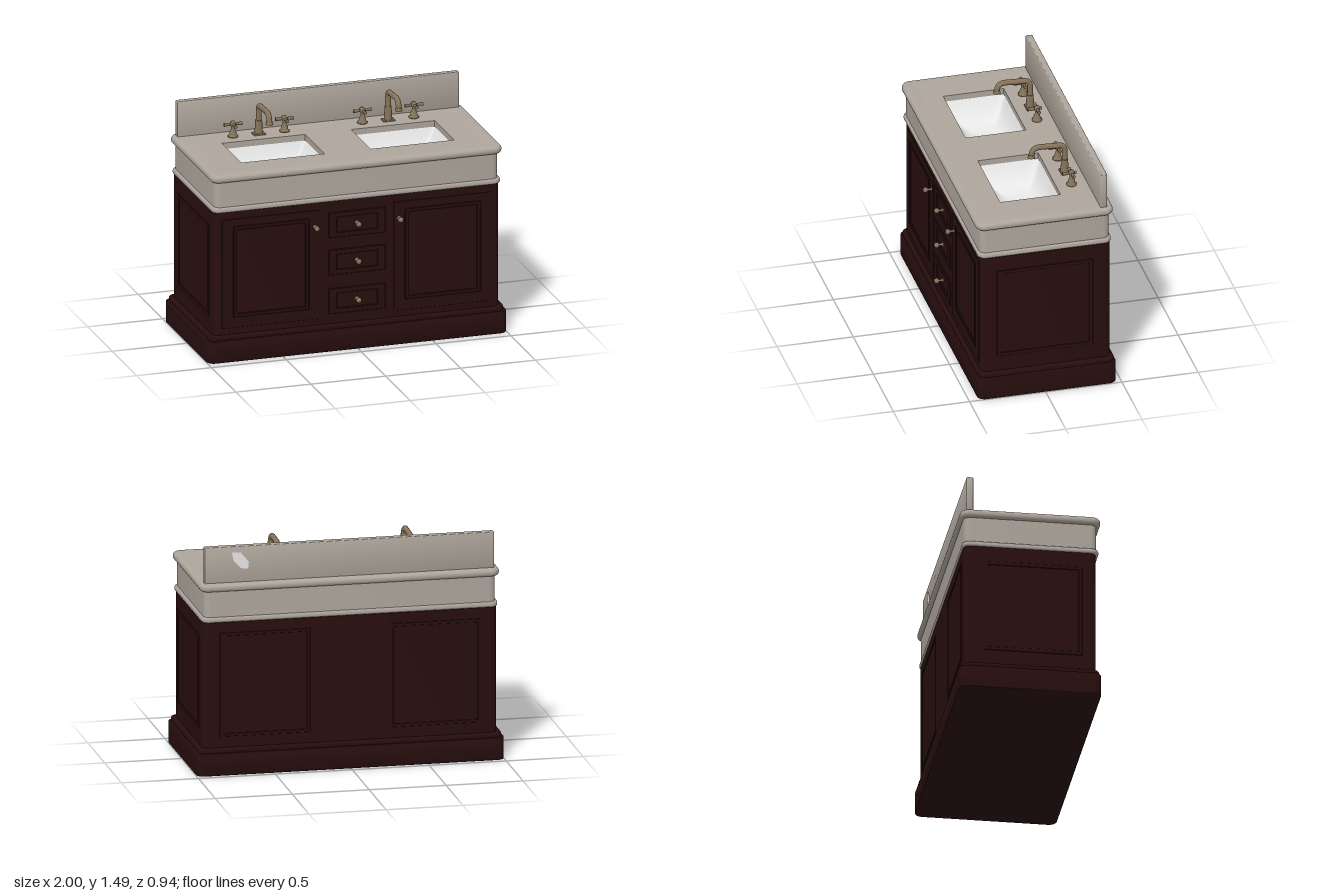
import * as THREE from 'three';
import { toCreasedNormals } from 'three/addons/utils/BufferGeometryUtils.js';

const mat = (name, color) => {
  const m = new THREE.MeshStandardMaterial({ color });
  m.name = name;
  return m;
};

export function createModel() {
  const model = new THREE.Group();
  model.name = 'doubleVanity';
  const wood = mat('darkWood', 0x280e0e);
  const stone = mat('greyStone', 0xaea69c);
  const brass = mat('agedBrass', 0x85735a);
  const white = mat('whiteCeramic', 0xf6f6f6);
  white.side = THREE.DoubleSide;

  const add = (name, geo, material, parent = model) => {
    const mesh = new THREE.Mesh(geo, material);
    mesh.name = name;
    parent.add(mesh);
    return mesh;
  };

  // Rounded rectangle outline (r = 0 gives square corners)
  const outline = (C, x0, x1, y0, y1, r = 0) => {
    const s = new C();
    if (!r) {
      s.moveTo(x0, y0); s.lineTo(x1, y0); s.lineTo(x1, y1); s.lineTo(x0, y1); s.closePath();
      return s;
    }
    s.absarc(x1 - r, y0 + r, r, -Math.PI / 2, 0);
    s.absarc(x1 - r, y1 - r, r, 0, Math.PI / 2);
    s.absarc(x0 + r, y1 - r, r, Math.PI / 2, Math.PI);
    s.absarc(x0 + r, y0 + r, r, Math.PI, Math.PI * 1.5);
    s.closePath();
    return s;
  };

  // Horizontal slab: half width, back and front z, bottom and top y
  const slab = (hw, zb, zf, y0, y1, r, bevel = 0, holes = []) => {
    const s = outline(THREE.Shape, -hw, hw, -zf, -zb, r);
    holes.forEach(([a, b, c, d]) => s.holes.push(outline(THREE.Path, a, b, -d, -c)));
    const g = new THREE.ExtrudeGeometry(s, {
      depth: y1 - y0 - 2 * bevel, curveSegments: 6, bevelEnabled: bevel > 0,
      bevelSize: bevel, bevelThickness: bevel, bevelOffset: -bevel, bevelSegments: 4,
    });
    g.rotateX(-Math.PI / 2).translate(0, y0 + bevel, 0);
    return toCreasedNormals(g, 0.6);
  };

  // Picture-frame moulding standing in the xy plane
  const frame = (x0, x1, y0, y1, w, depth, h = w) => {
    const s = outline(THREE.Shape, x0, x1, y0, y1);
    s.holes.push(outline(THREE.Path, x0 + w, x1 - w, y0 + h, y1 - h));
    const b = depth * 0.45;
    return new THREE.ExtrudeGeometry(s, {
      depth: depth - b, bevelEnabled: true, bevelSize: b, bevelThickness: b,
      bevelOffset: -b, bevelSegments: 1,
    });
  };

  // Cabinet and plinth
  add('plinth', slab(1, -0.47, 0.44, 0, 0.147, 0.05, 0.006), wood);
  add('plinthMoulding', slab(0.985, -0.46, 0.43, 0.14, 0.178, 0.05, 0.012), wood);
  add('cabinetBody', slab(0.957, -0.44, 0.41, 0.17, 1.0, 0.045), wood);

  // Doors, drawers and side panels
  const front = new THREE.Group();
  front.name = 'cabinetFront';
  front.position.z = 0.41;
  model.add(front);
  for (const s of [-1, 1]) {
    const span = (a, b) => (s > 0 ? [a, b] : [-b, -a]);
    add('doorFrame', frame(...span(0.245, 0.9), 0.22, 0.95, 0.075, 0.004), wood, front);
    add('doorMoulding', frame(...span(0.32, 0.825), 0.29, 0.9, 0.025, 0.009), wood, front);
    const side = add('sidePanelMoulding', frame(-0.31, 0.32, 0.28, 0.9, 0.025, 0.005), wood);
    side.rotation.y = s * Math.PI / 2;
    side.scale.x = s;
    side.position.x = s * 0.956;
    if (s < 0) {
      // mirrored side uses the same span with unflipped winding
      side.scale.x = 1;
    }
    const back = add('backPanelMoulding', frame(...span(0.26, 0.85), 0.25, 0.93, 0.02, 0.004), wood);
    back.rotation.y = Math.PI;
    back.position.z = -0.439;
  }
  const drawerHeights = [0.33, 0.59, 0.84];
  for (const y of drawerHeights) {
    add('drawerFrame', frame(-0.19, 0.19, y - 0.085, y + 0.085, 0.055, 0.008, 0.035), wood, front);
  }

  // Knobs
  const knobGeo = new THREE.LatheGeometry([
    [0, 0], [0.014, 0], [0.014, 0.004], [0.007, 0.01], [0.007, 0.028],
    [0.014, 0.033], [0.018, 0.042], [0.016, 0.052], [0.009, 0.058], [0, 0.06],
  ].map(p => new THREE.Vector2(...p)), 16).rotateX(Math.PI / 2);
  const knobs = [[-0.28, 0.84], [0.28, 0.84], ...drawerHeights.map(y => [0, y])];
  for (const [x, y] of knobs) add('knob', knobGeo, brass, front).position.set(x, y, 0);

  // Stone apron, countertop and backsplash
  add('apronMoulding', slab(0.963, -0.447, 0.428, 1.0, 1.036, 0.05, 0.013), stone);
  add('apron', slab(0.947, -0.437, 0.415, 1.03, 1.215, 0.045, 0, [[-0.88, 0.88, -0.37, 0.35]]), stone);
  const b = 0.022;
  add('countertopEdge', slab(0.972, -0.46, 0.44, 1.203, 1.255, 0.06, b,
    [[-0.85 + b, 0.85 - b, -0.34 + b, 0.32 - b]]), stone);
  const sinkX = 0.432;
  const sinkHoles = [-1, 1].map(s => [s * sinkX - 0.278, s * sinkX + 0.278, -0.173, 0.223]);
  add('countertop', slab(0.85, -0.34, 0.32, 1.215, 1.255, 0, 0, sinkHoles), stone);
  add('backsplash', slab(0.94, -0.42, -0.376, 1.24, 1.49, 0.006, 0.006), stone);

  // Pale patch on the back of the backsplash
  const patch = new THREE.Shape([
    [-0.765, 1.45], [-0.71, 1.45], [-0.655, 1.385], [-0.66, 1.34], [-0.705, 1.345], [-0.755, 1.395],
  ].map(p => new THREE.Vector2(...p)));
  const patchMesh = add('backPatch', new THREE.ShapeGeometry(patch), white);
  patchMesh.rotation.y = Math.PI;
  patchMesh.position.z = -0.422;

  // Sink bowl: a plane dished toward its middle
  const bowl = new THREE.PlaneGeometry(0.56, 0.4, 24, 24).rotateX(-Math.PI / 2);
  const p = bowl.attributes.position;
  for (let i = 0; i < p.count; i++) {
    const u = Math.abs(p.getX(i) / 0.28), v = Math.abs(p.getZ(i) / 0.2);
    p.setY(i, -0.15 * Math.min(1 - u ** 3.5, 1 - v ** 3.5));
  }
  bowl.computeVertexNormals();

  // Spout path: up, forward and down
  const V = (y, z) => new THREE.Vector3(0, y, z);
  const path = new THREE.CurvePath();
  path.add(new THREE.LineCurve3(V(0, 0), V(0.16, 0)));
  path.add(new THREE.QuadraticBezierCurve3(V(0.16, 0), V(0.194, 0), V(0.197, 0.035)));
  path.add(new THREE.LineCurve3(V(0.197, 0.035), V(0.203, 0.16)));
  path.add(new THREE.QuadraticBezierCurve3(V(0.203, 0.16), V(0.204, 0.215), V(0.15, 0.218)));
  const spoutGeo = new THREE.TubeGeometry(path, 60, 0.018, 14);

  const stemGeo = new THREE.LatheGeometry([
    [0, 0], [0.033, 0], [0.033, 0.008], [0.024, 0.014], [0.021, 0.035], [0.013, 0.05],
    [0.012, 0.07], [0.019, 0.076], [0.019, 0.094], [0.012, 0.1], [0.01, 0.106], [0, 0.108],
  ].map(q => new THREE.Vector2(...q)), 16);

  const arm = (parent, angle, length) => {
    const g = new THREE.CylinderGeometry(0.012, 0.007, length, 10);
    g.translate(0, length / 2, 0).rotateX(Math.PI / 2).rotateY(angle);
    add('handleArm', g, brass, parent).position.y = 0.085;
  };

  for (const s of [-1, 1]) {
    add('sinkBowl', bowl, white).position.set(s * sinkX, 1.216, 0.025);

    const faucet = new THREE.Group();
    faucet.name = 'faucet';
    faucet.position.set(s * sinkX, 1.255, -0.273);
    model.add(faucet);
    add('spout', spoutGeo, brass, faucet);
    add('spoutBase', new THREE.BoxGeometry(0.078, 0.008, 0.06), brass, faucet).position.y = 0.004;
    add('spoutColumn', new THREE.CylinderGeometry(0.022, 0.027, 0.09, 16), brass, faucet).position.y = 0.05;
    add('spoutTip', new THREE.CylinderGeometry(0.02, 0.024, 0.022, 16), brass, faucet).position.set(0, 0.146, 0.218);

    for (const h of [-1, 1]) {
      const handle = new THREE.Group();
      handle.name = 'tapHandle';
      handle.position.x = h * 0.172;
      faucet.add(handle);
      add('handleStem', stemGeo, brass, handle);
      arm(handle, Math.PI / 2, 0.06);
      arm(handle, -Math.PI / 2, 0.06);
      arm(handle, 0, 0.06);
      arm(handle, Math.PI, 0.03);
    }
  }
  return model;
}
